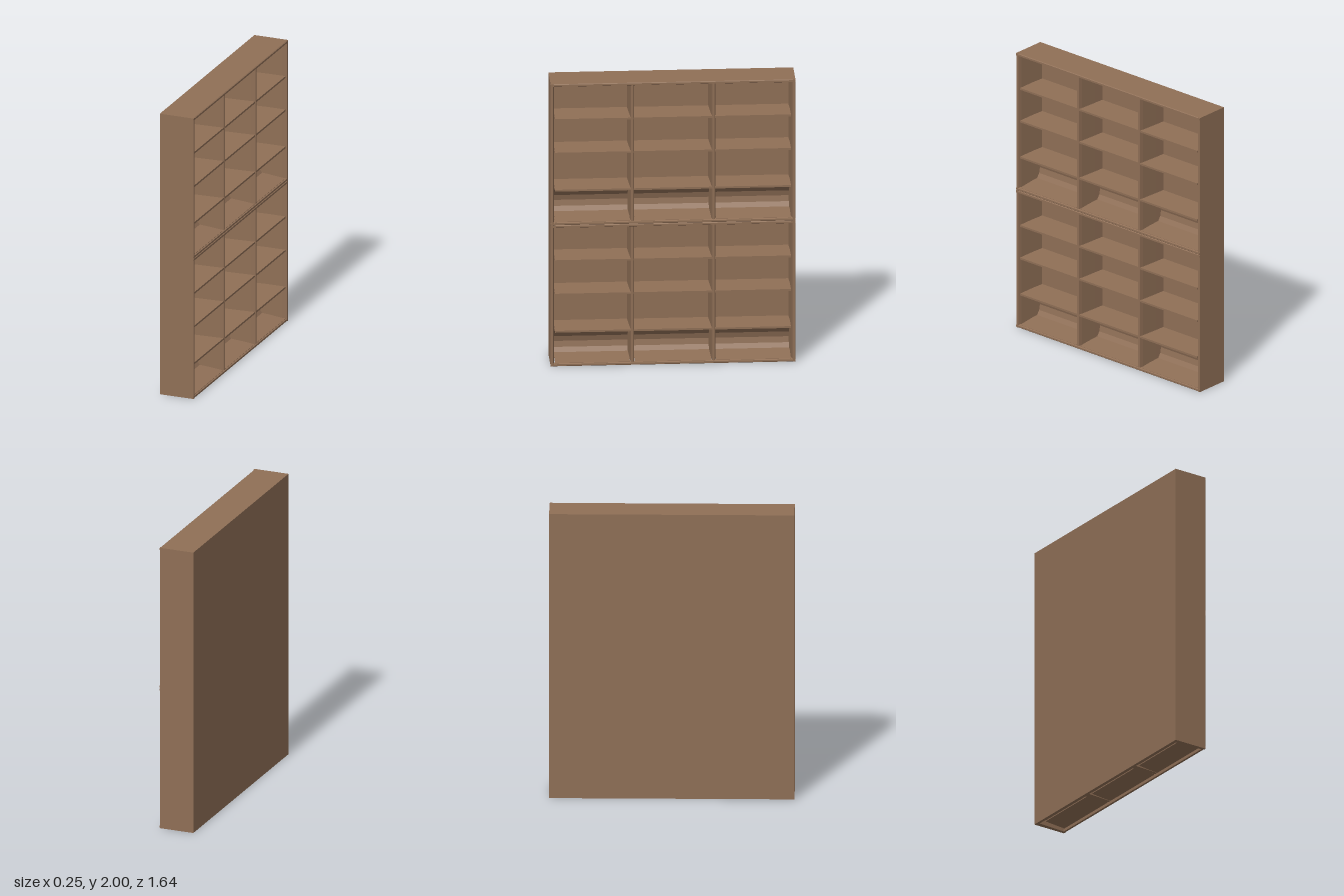
import * as THREE from 'three';

const wood = new THREE.MeshStandardMaterial({ color: 0x8f6f56 });
wood.name = 'brown wood';

const BACK = -0.125, FRONT = 0.12, HALF = 0.82;

function add(group, name, geometry) {
  const mesh = new THREE.Mesh(geometry, wood);
  mesh.name = name;
  group.add(mesh);
  return mesh;
}

function board(group, name, x0, x1, y0, y1, z0, z1) {
  const mesh = add(group, name, new THREE.BoxGeometry(x1 - x0, y1 - y0, z1 - z0));
  mesh.position.set((x0 + x1) / 2, (y0 + y1) / 2, (z0 + z1) / 2);
  return mesh;
}

function extrude(points, length) {
  const shape = new THREE.Shape(points.map(([a, b]) => new THREE.Vector2(a, b)));
  return new THREE.ExtrudeGeometry(shape, { depth: length, bevelEnabled: false });
}

// Upright with a plan given as [x, z] points
function upright(group, name, plan, y0, y1) {
  const g = extrude(plan.map(([x, z]) => [x, -z]), y1 - y0);
  g.rotateX(-Math.PI / 2);
  add(group, name, g).position.y = y0;
}

// Rail running along z with a section given as [x, y] points
function rail(group, name, section, z0, z1) {
  add(group, name, extrude(section, z1 - z0)).position.z = z0;
}

// One rack: three bays, three shelves, curved bins at the foot
function rack() {
  const g = new THREE.Group();
  board(g, 'backPanel', BACK, -0.105, 0, 1, -HALF, HALF);

  // Outer sides, thickening toward the back
  for (const s of [-1, 1]) {
    const plan = [[BACK, 0.82], [0.115, 0.82], [FRONT, 0.815], [FRONT, 0.803],
      [0.112, 0.8], [0.09, 0.796], [-0.105, 0.785], [BACK, 0.785]];
    upright(g, 'sidePanel', plan.map(([x, z]) => [x, z * s]), 0, 1);
  }

  // Dividers, slim at the front edge
  for (const z of [-0.272, 0.272]) {
    const half = [[-0.11, 0.024], [-0.03, 0.02], [0.09, 0.013], [0.112, 0.009], [0.116, 0.005]];
    const plan = [...half, ...half.map(([x, w]) => [x, -w]).reverse()];
    upright(g, 'divider', plan.map(([x, w]) => [x, z + w]), 0.02, 0.985);
  }

  // Top panel and front foot rail
  rail(g, 'topPanel', [[BACK, 1], [0.115, 1], [FRONT, 0.996], [FRONT, 0.984],
    [0.112, 0.98], [-0.105, 0.963], [BACK, 0.963]], -HALF, HALF);
  rail(g, 'footRail', [[0.1, 0], [0.115, 0], [FRONT, 0.004], [FRONT, 0.016],
    [0.112, 0.02], [0.1, 0.022]], -HALF, HALF);

  // Shelves
  for (const y of [0.25, 0.513, 0.751])
    board(g, 'shelf', -0.11, 0.113, y - 0.013, y, -0.79, 0.79);

  // Bin floors and curved bin backs, one per bay
  const curve = [[0.105, 0.242], [0.06, 0.235], [0, 0.21], [-0.045, 0.18], [-0.072, 0.148],
    [-0.083, 0.11], [-0.076, 0.07], [-0.055, 0.036]];
  const shell = [...curve, ...curve.map(([x, y]) => [x - 0.006, y + 0.004]).reverse()];
  for (const [z0, z1] of [[-0.79, -0.288], [-0.256, 0.256], [0.288, 0.79]]) {
    rail(g, 'binFloor', [[0.112, 0.019], [0.112, 0.022], [-0.055, 0.04], [-0.055, 0.03]], z0, z1);
    rail(g, 'binBack', shell, z0, z1);
  }
  return g;
}

export function createModel() {
  const model = new THREE.Group();
  model.name = 'displayRack';
  ['lowerRack', 'upperRack'].forEach((name, i) => {
    const r = rack();
    r.name = name;
    r.position.y = i;
    model.add(r);
  });
  return model;
}
